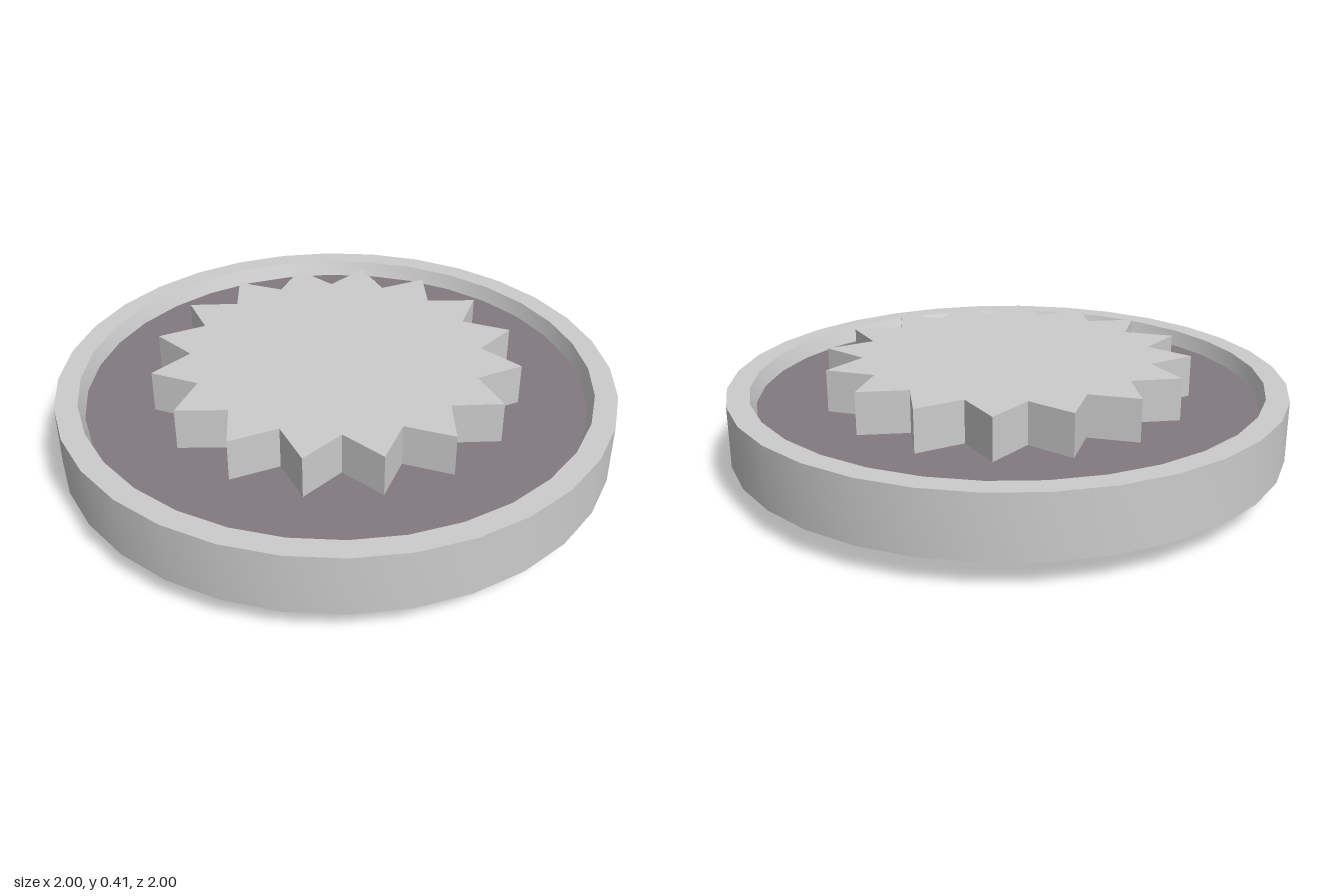
import * as THREE from 'three';
import { toCreasedNormals } from 'three/addons/utils/BufferGeometryUtils.js';

const SIDES = 32;
const TEETH = 16;

export function createModel() {
  const model = new THREE.Group();
  model.name = 'toothedWheel';
  const grey = new THREE.MeshStandardMaterial({ color: 0xcccccc });
  const dark = new THREE.MeshStandardMaterial({ color: 0x847a80 });

  const add = (name, geometry, material) => {
    const mesh = new THREE.Mesh(geometry, material);
    mesh.name = name;
    model.add(mesh);
    return mesh;
  };

  // Outer rim, its inner walls tapering in towards the web on both faces
  const profile = [
    [0.9, 0.15], [0.92, 0.095], [1, 0.095], [1, 0.315], [0.92, 0.315], [0.9, 0.26],
  ].map(([r, y]) => new THREE.Vector2(r, y));
  add('rim', toCreasedNormals(new THREE.LatheGeometry(profile, SIDES), 0.6), grey);

  // Recessed disc filling the rim
  const web = add('webDisc', new THREE.CylinderGeometry(0.9, 0.9, 0.11, SIDES), dark);
  web.position.y = 0.205;

  // Pointed gear passing through the disc, valleys on the axes
  const points = [];
  for (let i = 0; i < TEETH * 2; i++) {
    const angle = (i / TEETH) * Math.PI;
    const radius = i % 2 ? 0.657 : 0.52;
    points.push(new THREE.Vector2(radius * Math.cos(angle), radius * Math.sin(angle)));
  }
  const gear = new THREE.ExtrudeGeometry(new THREE.Shape(points), { depth: 0.41, bevelEnabled: false });
  gear.rotateX(-Math.PI / 2);
  add('gear', gear, grey);

  // Slight turn of the whole wheel about its axis
  model.rotation.y = -0.016;
  return model;
}
